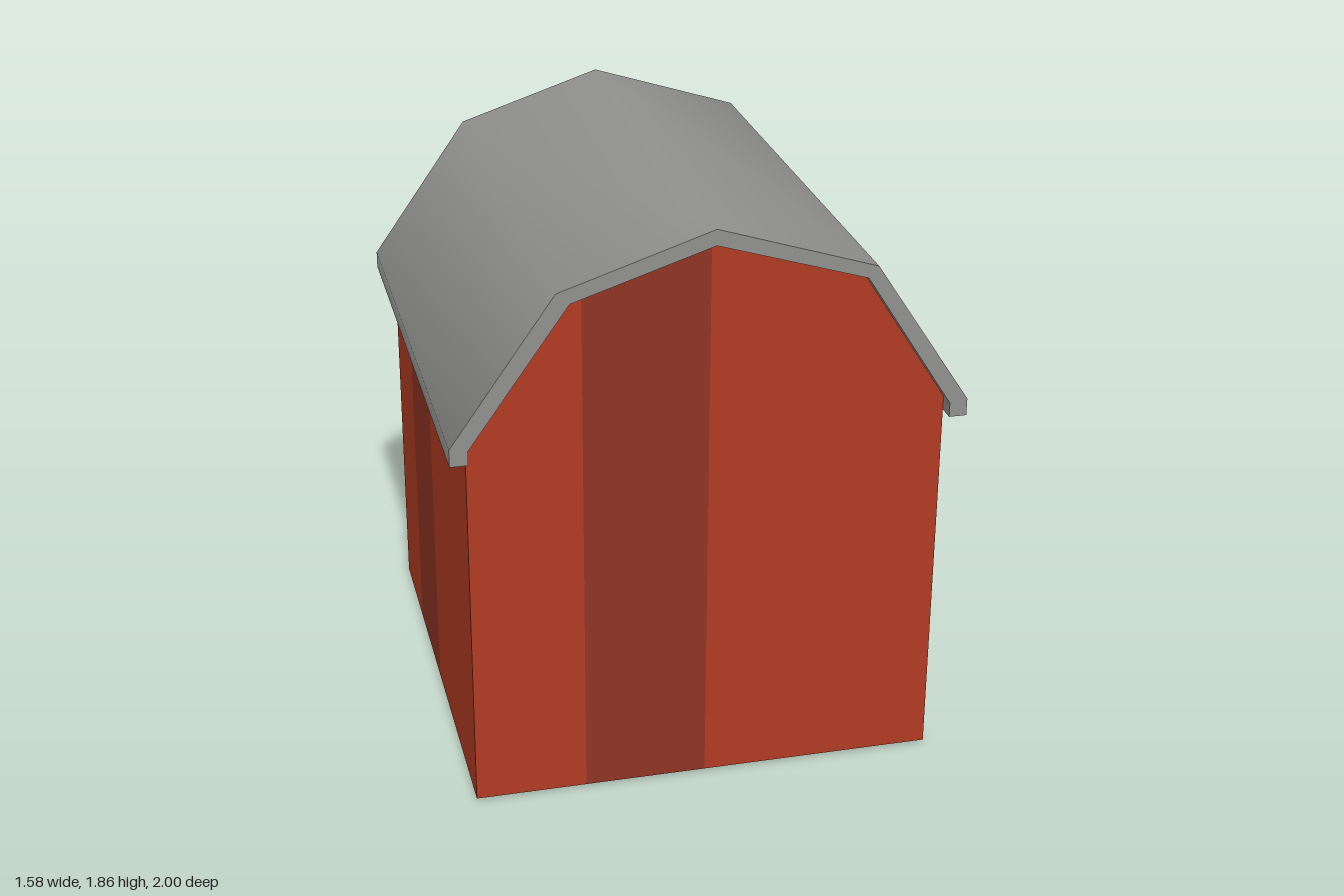
import * as THREE from 'three';
import { toCreasedNormals } from 'three/addons/utils/BufferGeometryUtils.js';

const material = (name, color) => {
  const m = new THREE.MeshStandardMaterial({ color });
  m.name = name;
  return m;
};

export function createModel() {
  const barn = new THREE.Group();
  barn.name = 'barn';
  const red = material('barn red', 0xb23b23);
  const darkRed = material('dark red stripe', 0x8f3424);
  const grey = material('roof grey', 0x91918f);
  const brown = material('door brown', 0x452a0e);

  const W = 0.735, BASE = 0.01, EAVE = 1.24, BACK = -0.58, FRONT = 0.945;
  const DOOR = 0.385, SILL = 0.09, LINTEL = 0.53, INNER = 0.87;
  const gable = [[-W, EAVE], [-0.43, 1.67], [0, 1.81], [0.46, 1.67], [W, EAVE]];

  const add = (name, geometry, mat, parent = barn) => {
    const mesh = new THREE.Mesh(geometry, mat);
    mesh.name = name;
    parent.add(mesh);
  };

  // Flat convex panel; corners run anticlockwise seen from its visible side
  const panel = (name, mat, corners) => {
    const g = new THREE.BufferGeometry();
    g.setAttribute('position', new THREE.Float32BufferAttribute(corners.flat(), 3));
    const index = [];
    for (let i = 1; i < corners.length - 1; i++) index.push(0, i, i + 1);
    g.setIndex(index);
    g.computeVertexNormals();
    add(name, g, mat);
  };

  // Panels facing along z, x or y (dir is +1 or -1)
  const facingZ = (name, mat, pts, z, dir) => {
    const c = pts.map(([x, y]) => [x, y, z]);
    panel(name, mat, dir > 0 ? c : c.reverse());
  };
  const facingX = (name, mat, x, y0, y1, z0, z1, dir) => {
    const c = [[x, y0, z1], [x, y0, z0], [x, y1, z0], [x, y1, z1]];
    panel(name, mat, dir > 0 ? c : c.reverse());
  };
  const facingY = (name, mat, y, x0, x1, z0, z1, dir) => {
    const c = [[x0, y, z1], [x1, y, z1], [x1, y, z0], [x0, y, z0]];
    panel(name, mat, dir > 0 ? c : c.reverse());
  };
  const rect = (x0, x1, y0, y1) => [[x0, y0], [x1, y0], [x1, y1], [x0, y1]];

  // Height of the gable at x, and the gable wall between two x positions
  const topAt = (x) => {
    const i = Math.max(1, gable.findIndex((p) => p[0] >= x));
    const [a, b] = [gable[i - 1], gable[i]];
    return a[1] + ((x - a[0]) / (b[0] - a[0])) * (b[1] - a[1]);
  };
  const slice = (x0, x1, y0) => [
    [x0, y0], [x1, y0], [x1, topAt(x1)],
    ...gable.filter((p) => p[0] > x0 && p[0] < x1).reverse(),
    [x0, topAt(x0)],
  ];

  // Front wall and underside, with one darker band
  for (const [x0, x1, mat] of [[-W, -DOOR, red], [-DOOR, 0, darkRed], [0, W, red]]) {
    facingZ('frontWall', mat, slice(x0, x1, BASE), FRONT, 1);
    facingY('underside', mat, BASE, x0, x1, BACK, FRONT, -1);
  }

  // Back wall beside the doorway
  facingZ('backWall', red, slice(-W, -DOOR, BASE), BACK, -1);
  facingZ('backWall', red, slice(DOOR, W, BASE), BACK, -1);

  // Back wall above and below the doorway, and the passage inside
  for (const [x0, x1, mat] of [[-DOOR, 0, darkRed], [0, DOOR, red]]) {
    facingZ('backWall', mat, slice(x0, x1, LINTEL), BACK, -1);
    facingZ('doorSill', mat, rect(x0, x1, BASE, SILL), BACK, -1);
    facingZ('passageEnd', mat, rect(x0, x1, SILL, LINTEL), INNER, -1);
    facingY('passageFloor', mat, SILL, x0, x1, BACK, INNER, 1);
    facingY('passageCeiling', mat, LINTEL, x0, x1, BACK, INNER, -1);
  }
  for (const s of [-1, 1]) facingX('passageWall', red, s * DOOR, SILL, LINTEL, BACK, INNER, -s);

  // Side walls, each with its own darker band
  for (const [s, z0, z1] of [[1, 0.19, 0.6], [-1, -0.23, 0.19]]) {
    facingX('sideWall', red, s * W, BASE, EAVE, BACK, z0, s);
    facingX('sideWall', darkRed, s * W, BASE, EAVE, z0, z1, s);
    facingX('sideWall', red, s * W, BASE, EAVE, z1, FRONT, s);
  }

  // Roof shell overhanging the walls, smooth across its slopes
  const outer = [[-0.79, 1.195], [-0.79, 1.25], [-0.47, 1.705], [0, 1.86], [0.49, 1.705], [0.79, 1.25], [0.79, 1.195]];
  const inner = [[W, 1.195], ...[...gable].reverse(), [-W, 1.195]];
  const roofShape = new THREE.Shape([...outer, ...inner].map(([x, y]) => new THREE.Vector2(x, y)));
  const roof = new THREE.ExtrudeGeometry(roofShape, { depth: 1.64, bevelEnabled: false });
  roof.translate(0, 0, -0.64);
  add('roof', toCreasedNormals(roof, 0.7), grey);

  // Open doors: hinge and tip edges in plan
  const doors = new THREE.Group();
  doors.name = 'doors';
  barn.add(doors);
  for (const [name, h0, h1, t0, t1] of [
    ['leftDoor', 0.385, 0.435, 0.595, 0.65],
    ['rightDoor', -0.385, -0.335, -0.54, -0.485],
  ]) {
    const plan = new THREE.Shape([[h0, 0.575], [h1, 0.575], [t1, 1], [t0, 1]].map(([x, y]) => new THREE.Vector2(x, y)));
    const g = new THREE.ExtrudeGeometry(plan, { depth: 0.53, bevelEnabled: false });
    g.rotateX(-Math.PI / 2);
    add(name, g, brown, doors);
  }

  return barn;
}
